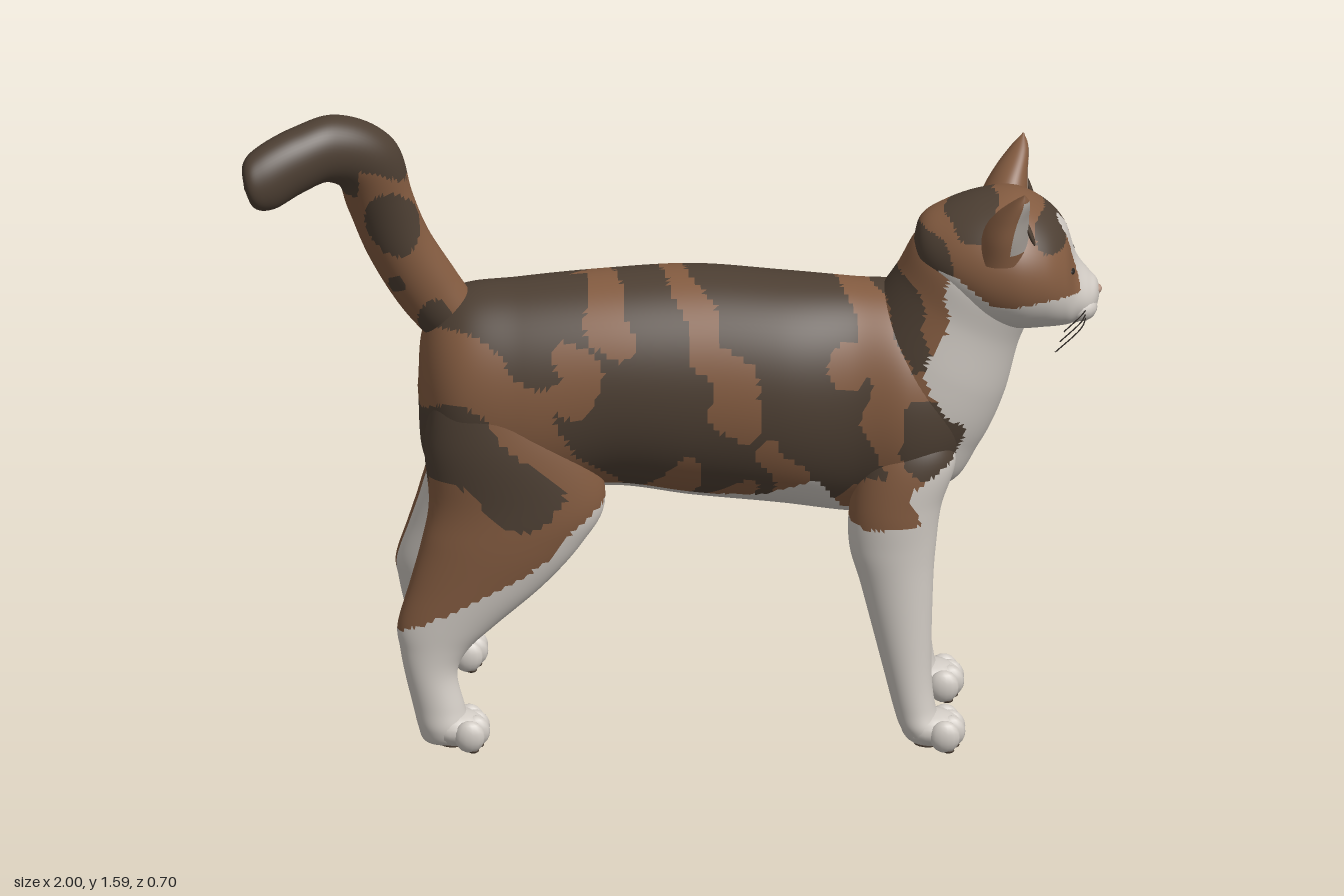
import * as THREE from 'three';

const mat = (name, color) => Object.assign(new THREE.MeshStandardMaterial({ color }), { name });
const rad = THREE.MathUtils.degToRad;

// Piecewise-linear lookup in a list of [key, value]
function lookup(pts, k) {
  if (k <= pts[0][0]) return pts[0][1];
  for (let i = 1; i < pts.length; i++) {
    const [k0, v0] = pts[i - 1], [k1, v1] = pts[i];
    if (k <= k1) return v0 + (v1 - v0) * (k - k0) / (k1 - k0);
  }
  return pts[pts.length - 1][1];
}

// Smooth skin through elliptical rings [x, y, z, radius, zRadius, tilt in degrees]
function loft(rings, steps, sides) {
  const path = new THREE.CatmullRomCurve3(rings.map(r => new THREE.Vector3(r[0], r[1], r[2])), false, 'catmullrom');
  const size = new THREE.CatmullRomCurve3(rings.map(r => new THREE.Vector3(r[3], r[4], rad(r[5]))), false, 'catmullrom');
  const pos = [], index = [];
  for (let i = 0; i <= steps; i++) {
    const c = path.getPoint(i / steps), s = size.getPoint(i / steps);
    const r = Math.max(s.x, 0.001), rz = Math.max(s.y, 0.001);
    for (let j = 0; j < sides; j++) {
      const a = j / sides * Math.PI * 2, u = r * Math.cos(a);
      pos.push(c.x + u * Math.cos(s.z), c.y + u * Math.sin(s.z), c.z + rz * Math.sin(a));
      if (i < steps) {
        const k = (j + 1) % sides, p = i * sides, q = p + sides;
        index.push(p + j, q + j, p + k, p + k, q + j, q + k);
      }
    }
  }
  // Turn the faces outward when the enclosed volume is negative
  const v = n => new THREE.Vector3().fromArray(pos, n * 3);
  let volume = 0;
  for (let i = 0; i < index.length; i += 3) volume += v(index[i]).dot(v(index[i + 1]).cross(v(index[i + 2])));
  if (volume < 0) index.reverse();
  const g = new THREE.BufferGeometry();
  g.setAttribute('position', new THREE.Float32BufferAttribute(pos, 3));
  g.setIndex(index);
  g.computeVertexNormals();
  return g;
}

// Sort faces into material groups by a rule on face centre and normal
function paint(g, rule, count) {
  const p = g.attributes.position, old = g.index.array, bins = Array.from({ length: count }, () => []);
  const [a, b, c] = [0, 1, 2].map(() => new THREE.Vector3()), tri = new THREE.Triangle(a, b, c);
  const mid = new THREE.Vector3(), n = new THREE.Vector3();
  for (let i = 0; i < old.length; i += 3) {
    [a, b, c].forEach((w, k) => w.fromBufferAttribute(p, old[i + k]));
    tri.getMidpoint(mid); tri.getNormal(n);
    bins[rule(mid, n)].push(old[i], old[i + 1], old[i + 2]);
  }
  g.setIndex(bins.flat());
  let start = 0;
  bins.forEach((bin, m) => { g.addGroup(start, bin.length, m); start += bin.length; });
  return g;
}

// Coat regions
const WHITE = 0, BROWN = 1, DARK = 2, INNER = 3;
const lowerEdge = [[-0.64, 0.28], [-0.47, 0.4], [-0.28, 0.48], [-0.15, 0.6], [0, 0.62], [0.2, 0.62], [0.33, 0.69], [0.4, 0.58], [0.45, 0.55], [0.57, 0.56]];
const frontEdge = [[0.55, 0.56], [0.66, 0.58], [0.72, 0.66], [0.8, 0.66], [0.9, 0.6], [1.08, 0.62], [1.18, 0.66], [1.2, 0.72]];
const blaze = [[1.13, 0.075], [1.18, 0.045], [1.26, 0.034], [1.28, 0.02], [1.29, 0]];
// Patches [colour, x, y, rx, ry, turn]; later ones lie on top
const patches = [
  [DARK, -0.3, 1.06, 0.26, 0.08, 0], [DARK, -0.3, 0.98, 0.09, 0.06, 0], [DARK, -0.5, 0.74, 0.14, 0.1, 0],
  [DARK, -0.38, 0.67, 0.12, 0.085, -30], [DARK, 0, 0.87, 0.26, 0.27, 0], [DARK, 0.33, 0.85, 0.2, 0.33, 0],
  [DARK, 0.2, 1.08, 0.36, 0.08, 0], [DARK, 0.62, 0.78, 0.09, 0.12, 20], [DARK, 0.53, 1.04, 0.07, 0.1, -20],
  [BROWN, -0.13, 1.05, 0.05, 0.09, -20], [BROWN, -0.23, 0.92, 0.05, 0.1, 15], [BROWN, 0.08, 1.05, 0.04, 0.13, 0],
  [BROWN, 0.14, 0.88, 0.06, 0.12, 20], [BROWN, 0.01, 0.66, 0.05, 0.09, -15], [BROWN, 0.26, 0.68, 0.045, 0.12, 10],
  [BROWN, 0.49, 0.92, 0.05, 0.23, 5], [BROWN, 0.4, 0.96, 0.042, 0.06, 0], [BROWN, 0.5, 0.6, 0.13, 0.07, 0],
];
const headPatches = [[DARK, 0.7, 1.32, 0.06, 0.05, 0], [DARK, 0.6, 1.2, 0.06, 0.08, 20], [DARK, 0.88, 1.275, 0.045, 0.035, -30]];
function patchColour(list, x, y) {
  let colour = BROWN;
  for (const [m, px, py, rx, ry, turn] of list) {
    const t = rad(turn), dx = x - px, dy = y - py;
    const u = (dx * Math.cos(t) + dy * Math.sin(t)) / rx, v = (dy * Math.cos(t) - dx * Math.sin(t)) / ry;
    if (u * u + v * v < 1) colour = m;
  }
  return colour;
}
function coat({ x, y, z }, n) {
  const wob = 0.014 * Math.sin(23 * y + 9 * z) + 0.01 * Math.sin(41 * y - 17 * x);
  if (n.y < -0.8 && y < 0.7 || y < lookup(lowerEdge, x) + wob) return WHITE;
  if (y < 1.2 && x > lookup(frontEdge, y) + wob) return WHITE;
  // Stripes cross the back at a slant and lean forward down the right flank
  const flank = lookup([[-0.11, 1], [0.04, 0]], z) * lookup([[-0.3, 0], [-0.1, 0.45], [0.35, 0.45], [0.5, 0]], x);
  const slant = 0.3 * (0.2 - Math.min(z, 0.2)) * lookup([[0.4, 1], [0.55, 0.3]], x) - flank * Math.max(0, 1.1 - y);
  return patchColour(patches, x + slant + wob, y + 0.02 * Math.sin(19 * x + 8 * z));
}
function headCoat({ x, y, z }) {
  const wob = 0.008 * Math.sin(40 * z + 25 * x);
  if (x > 0.62 && y < 1.13 + Math.max(0, 0.75 - x) * 0.6 + wob) return WHITE;
  if (x > 0.8 && Math.abs(z - 0.09) < lookup(blaze, y) + wob * 0.5) return WHITE;
  return patchColour(headPatches, x + wob, y);
}
const tailCoat = ({ x, y, z }) => {
  if (x < -0.73 && y > 1.38 || y > 1.44 + 0.03 * Math.sin(30 * z)) return DARK;
  return patchColour([[DARK, -0.65, 1.3, 0.06, 0.09, 20], [DARK, -0.55, 1.03, 0.04, 0.06, 0], [DARK, -0.64, 1.13, 0.02, 0.025, 0]], x, y);
};

export function createModel() {
  const cat = new THREE.Group();
  cat.name = 'cat';
  const white = mat('white fur', 0xd0cac3), brown = mat('brown fur', 0x835b40), dark = mat('dark fur', 0x4d3f33);
  const grey = mat('inner ear grey', 0xa8a19a), pink = mat('nose pink', 0xb39483), black = mat('eye black', 0x2b2622);
  const fur = [white, brown, dark, grey];
  const add = (name, g, m, parent = cat) => {
    const mesh = new THREE.Mesh(g, m);
    mesh.name = name;
    parent.add(mesh);
    return mesh;
  };
  const furry = (name, rings, steps, sides, rule) => add(name, paint(loft(rings, steps, sides), rule, 4), fur);
  const ball = (name, m, p, s, parent) => {
    const mesh = add(name, new THREE.SphereGeometry(1, 14, 10), m, parent);
    mesh.position.set(...p);
    mesh.scale.set(...s);
    return mesh;
  };

  // Torso and neck
  furry('torso', [
    [-0.59, 0.84, 0.04, 0.001, 0.001], [-0.575, 0.83, 0.04, 0.16, 0.1], [-0.5, 0.83, 0.04, 0.25, 0.175],
    [-0.35, 0.83, 0.04, 0.272, 0.2], [-0.15, 0.86, 0.038, 0.26, 0.21], [0.05, 0.852, 0.035, 0.277, 0.222],
    [0.25, 0.84, 0.05, 0.28, 0.215], [0.42, 0.825, 0.06, 0.285, 0.195], [0.55, 0.82, 0.06, 0.275, 0.205],
    [0.65, 0.83, 0.06, 0.2, 0.165], [0.71, 0.85, 0.06, 0.1, 0.09], [0.73, 0.86, 0.06, 0.001, 0.001],
  ].map(r => [...r, 90]), 160, 104, coat);
  furry('neck', [
    [0.45, 0.66, 0.06, 0.001, 0.001, -48], [0.51, 0.74, 0.06, 0.18, 0.165, -46], [0.565, 0.84, 0.06, 0.2, 0.185, -40],
    [0.615, 0.94, 0.062, 0.19, 0.185, -33], [0.665, 1.06, 0.075, 0.168, 0.165, -31], [0.715, 1.165, 0.085, 0.16, 0.16, -28],
    [0.755, 1.225, 0.09, 0.11, 0.11, -25], [0.77, 1.24, 0.09, 0.001, 0.001, -25],
  ], 84, 80, coat);

  // Head
  furry('head', [
    [0.56, 1.21, 0.001, 0.001], [0.58, 1.21, 0.07, 0.08], [0.64, 1.2, 0.115, 0.14], [0.72, 1.188, 0.152, 0.178],
    [0.8, 1.182, 0.163, 0.186], [0.87, 1.165, 0.146, 0.162], [0.915, 1.14, 0.12, 0.125], [0.94, 1.105, 0.08, 0.088],
    [0.97, 1.088, 0.056, 0.062], [0.988, 1.092, 0.032, 0.036], [0.996, 1.095, 0.001, 0.001],
  ].map(([x, y, r, rz]) => [x, y, 0.09, r, rz, 90]), 100, 90, headCoat);
  ball('chin', white, [0.93, 1.045, 0.09], [0.04, 0.027, 0.04]);
  ball('nose', pink, [0.985, 1.1, 0.09], [0.016, 0.012, 0.018]);
  ball('mouth', black, [0.967, 1.043, 0.09], [0.01, 0.004, 0.03]);
  for (const s of [1, -1]) {
    const side = s > 0 ? 'left' : 'right', at = d => 0.09 + s * d;
    furry(side + 'Ear', [
      [0.765, 1.23, at(0.1), 0.065, 0.088, 0], [0.775, 1.29, at(0.118), 0.055, 0.079, 0], [0.79, 1.34, at(0.14), 0.04, 0.057, 0],
      [0.81, 1.385, at(0.168), 0.022, 0.028, 0], [0.82, 1.415, at(0.187), 0.001, 0.001, 0],
    ], 40, 48, (p, n) => n.x * 0.8 + n.z * s * 0.45 > 0.68 && p.y > 1.26 && p.y < 1.395 ? INNER : BROWN);
    ball(side + 'EarTuft', dark, [0.832, 1.3, at(0.14)], [0.006, 0.035, 0.012]).rotation.z = 0.35;
    ball(side + 'Muzzle', white, [0.95, 1.068, at(0.033)], [0.04, 0.033, 0.042]);
    ball(side + 'Eye', black, [0.925, 1.172, at(0.066)], [0.013, 0.01, 0.024]).rotation.x = -s * 0.2;
    for (let i = 0; i < 3; i++) {
      const whisker = new THREE.CatmullRomCurve3([
        new THREE.Vector3(0.965, 1.07 - i * 0.008, at(0.05)),
        new THREE.Vector3(0.95, 1.08 - i * 0.016, at(0.12)),
        new THREE.Vector3(0.91 - i * 0.01, 1.075 - i * 0.03, at(0.2 - i * 0.01)),
      ]);
      add(side + 'Whisker', new THREE.TubeGeometry(whisker, 10, 0.0016, 5), black);
    }
  }

  // Tail
  furry('tail', [
    [-0.47, 0.95, 0.04, 0.05, 0.05, 25], [-0.51, 1.01, 0.045, 0.07, 0.065, 27], [-0.57, 1.1, 0.06, 0.077, 0.068, 28],
    [-0.635, 1.22, 0.085, 0.076, 0.07, 24], [-0.678, 1.34, 0.115, 0.077, 0.07, 16], [-0.71, 1.45, 0.15, 0.083, 0.075, 40],
    [-0.79, 1.505, 0.195, 0.08, 0.075, 82], [-0.87, 1.495, 0.24, 0.079, 0.07, 97], [-0.945, 1.467, 0.28, 0.077, 0.062, 105],
    [-0.985, 1.455, 0.3, 0.055, 0.045, 105], [-0.996, 1.45, 0.305, 0.001, 0.001, 105],
  ], 100, 56, tailCoat);

  // Paw with four toes and dark pads underneath
  function paw(name, x, z) {
    const g = new THREE.Group();
    g.name = name;
    g.position.set(x, 0, z);
    cat.add(g);
    ball('foot', white, [0.004, 0.046, 0], [0.072, 0.043, 0.062], g);
    ball('pad', dark, [-0.005, 0.008, 0], [0.035, 0.008, 0.032], g);
    for (let i = 0; i < 4; i++) {
      const tz = (i - 1.5) * 0.034, tx = 0.052 - Math.abs(i - 1.5) * 0.012;
      ball('toe', white, [tx, 0.041, tz], [0.036, 0.039, 0.023], g);
      ball('toePad', dark, [tx + 0.008, 0.007, tz], [0.014, 0.007, 0.011], g);
    }
  }

  // Legs: rows are [y, x, radius, zRadius, share of the way from hip to paw in z]
  const foreLeg = [[0.82, 0.55, 0.06, 0.03, 0], [0.72, 0.55, 0.11, 0.075, 0], [0.6, 0.52, 0.107, 0.085, 0.1], [0.5, 0.513, 0.101, 0.079, 0.2],
    [0.4, 0.523, 0.084, 0.071, 0.35], [0.2, 0.546, 0.057, 0.058, 0.7], [0.1, 0.563, 0.049, 0.054, 0.9], [0.05, 0.58, 0.05, 0.056, 1], [0.015, 0.59, 0.035, 0.04, 1], [0.012, 0.59, 0.001, 0.001, 1]];
  const hindLeg = [[1, -0.4, 0.05, 0.02, 0], [0.9, -0.4, 0.14, 0.068, 0], [0.75, -0.38, 0.195, 0.1, 0.05], [0.6, -0.36, 0.205, 0.098, 0.2],
    [0.5, -0.395, 0.188, 0.088, 0.4], [0.4, -0.452, 0.158, 0.074, 0.56], [0.3, -0.523, 0.115, 0.06, 0.7], [0.24, -0.552, 0.08, 0.053, 0.78],
    [0.18, -0.56, 0.061, 0.05, 0.86], [0.1, -0.542, 0.06, 0.052, 0.95], [0.05, -0.53, 0.06, 0.055, 1], [0.015, -0.53, 0.045, 0.04, 1], [0.012, -0.53, 0.001, 0.001, 1]];
  for (const [name, rows, hip, foot, pawX, s] of [
    ['frontLeftLeg', foreLeg, 0.185, 0.21, 0.6, 1], ['frontRightLeg', foreLeg, -0.065, -0.09, 0.6, -1],
    ['backLeftLeg', hindLeg, 0.145, 0.2, -0.505, 1], ['backRightLeg', hindLeg, -0.115, -0.28, -0.505, -1],
  ]) {
    const rings = rows.map(([y, x, r, rz, k]) => [x, y, hip + (foot - hip) * k, r, rz, 0]);
    furry(name, rings, 90, 60, (p, n) => n.z * s < -0.35 && p.y < 0.72 ? WHITE : coat(p, n));
    paw(name + 'Paw', pawX, foot);
  }
  return cat;
}
